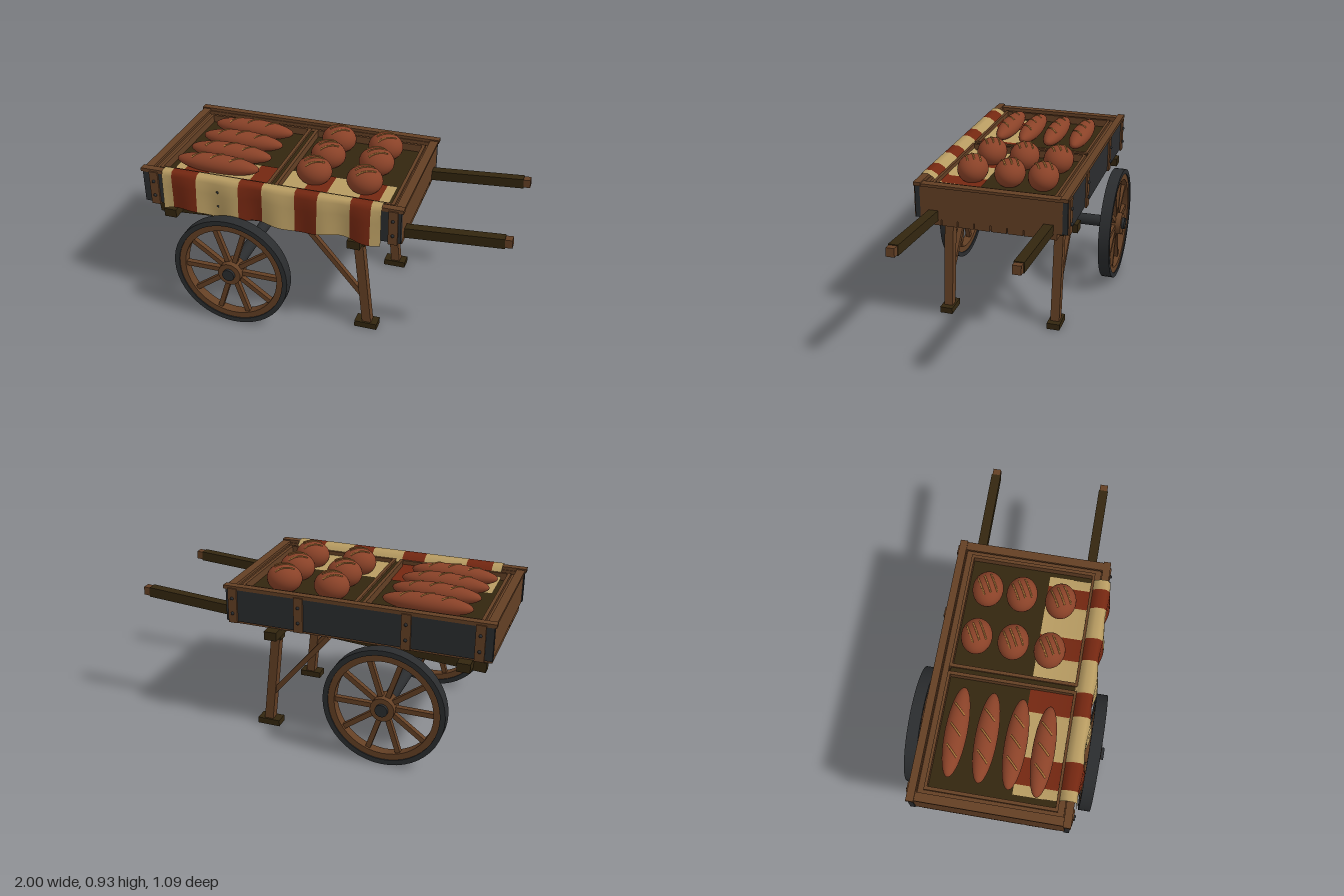
import * as THREE from 'three';
import { toCreasedNormals } from 'three/addons/utils/BufferGeometryUtils.js';

const mat = (name, color, side = THREE.FrontSide) => {
  const m = new THREE.MeshStandardMaterial({ color, side });
  m.name = name;
  return m;
};

export function createModel() {
  const root = new THREE.Group();
  root.name = 'breadCart';
  const wood = mat('wood', 0x633f24);
  const darkWood = mat('dark wood', 0x33260f);
  const iron = mat('iron', 0x2a2c2e);
  const crust = mat('crust', 0x8a4228);
  const score = mat('score', 0xa87238);
  const cream = mat('cream cloth', 0xb89c62, THREE.DoubleSide);
  const red = mat('red cloth', 0x742711, THREE.DoubleSide);

  const add = (name, geo, material, x = 0, y = 0, z = 0, parent = root) => {
    const m = new THREE.Mesh(geo, material);
    m.name = name;
    m.position.set(x, y, z);
    parent.add(m);
    return m;
  };
  // box given by its limits on each axis
  const box = (name, material, [x0, x1], [y0, y1], [z0, z1]) =>
    add(name, new THREE.BoxGeometry(x1 - x0, y1 - y0, z1 - z0), material,
      (x0 + x1) / 2, (y0 + y1) / 2, (z0 + z1) / 2);
  // straight square beam between two points in the xy plane
  const beam = (name, material, a, b, z, h, d) => {
    const m = add(name, new THREE.BoxGeometry(Math.hypot(b[0] - a[0], b[1] - a[1]), h, d), material,
      (a[0] + b[0]) / 2, (a[1] + b[1]) / 2, z);
    m.rotation.z = Math.atan2(b[1] - a[1], b[0] - a[0]);
    return m;
  };

  // floor planks running lengthwise
  const planks = 8, pw = 0.72 / planks;
  for (let i = 0; i < planks; i++) {
    const z = -0.36 + i * pw;
    box('floorPlank', wood, [-0.98, 0.44], [0.605, 0.645], [z + 0.003, z + pw - 0.003]);
  }
  // cross beams under the floor
  for (const x of [-0.85, 0.195]) box('crossBeam', darkWood, [x - 0.035, x + 0.035], [0.56, 0.608], [-0.415, 0.415]);

  // end panels with top rails
  for (const [x0, x1] of [[-0.985, -0.955], [0.415, 0.445]]) {
    box('endPanel', wood, [x0, x1], [0.64, 0.825], [-0.385, 0.385]);
    box('endRail', wood, [x0 - 0.008, x1 + 0.008], [0.82, 0.835], [-0.385, 0.385]);
  }
  // iron side panels with rails, posts and bolts
  const bolt = new THREE.SphereGeometry(0.009, 10, 8);
  for (const s of [-1, 1]) {
    const span = (a, b) => (s > 0 ? [a, b] : [-b, -a]);
    box('sidePanel', iron, [-0.99, 0.445], [0.642, 0.822], span(0.385, 0.412));
    box('sideLining', wood, [-0.985, 0.445], [0.64, 0.825], span(0.37, 0.386));
    box('sideRail', wood, [-1, 0.457], [0.822, 0.842], span(0.375, 0.415));
    for (const x of [-0.925, -0.55, 0.03, 0.405]) {
      box('sidePost', wood, [x - 0.025, x + 0.025], [0.635, 0.83], span(0.405, 0.422));
      for (const y of [0.69, 0.775]) add('bolt', bolt, iron, x, y, s * 0.424);
    }
  }

  // trays: dark beds with low rims and a ledge around them
  box('trayBed', darkWood, [-0.955, 0.415], [0.645, 0.78], [-0.37, 0.37]);
  for (const s of [-1, 1]) {
    const [a, b] = s > 0 ? [0.34, 0.37] : [-0.37, -0.34];
    box('trayLedge', wood, [-0.955, 0.415], [0.77, 0.805], [a, b]);
  }
  for (const [a, b] of [[-0.955, -0.925], [0.39, 0.415]])
    box('endLedge', wood, [a, b], [0.77, 0.805], [-0.34, 0.34]);
  for (const [x0, x1] of [[-0.925, -0.29], [-0.265, 0.39]]) {
    for (const [a, b] of [[-0.34, -0.325], [0.325, 0.34]]) box('trayRim', wood, [x0, x1], [0.77, 0.822], [a, b]);
    for (const x of [x0, x1 - 0.018]) box('trayRim', wood, [x, x + 0.018], [0.77, 0.822], [-0.325, 0.325]);
  }
  box('divider', darkWood, [-0.29, -0.265], [0.77, 0.81], [-0.33, 0.33]);

  // long shafts that end in handles, legs, feet and braces
  for (const z of [-0.312, 0.312]) {
    beam('shaft', darkWood, [-0.95, 0.565], [0.96, 0.698], z, 0.055, 0.052);
    beam('handleEnd', wood, [0.955, 0.6975], [0.997, 0.7005], z, 0.046, 0.044);
    box('legSocket', darkWood, [0.165, 0.235], [0.535, 0.565], [z - 0.03, z + 0.03]);
    beam('leg', wood, [0.195, 0.58], [0.252, 0.03], z, 0.05, 0.05);
    box('foot', darkWood, [0.185, 0.312], [0, 0.035], [z - 0.036, z + 0.036]);
    beam('brace', wood, [-0.1, 0.585], [0.225, 0.2], z, 0.028, 0.028);
  }

  // axle and spoked wheels
  const ring = (ri, ro, h) => toCreasedNormals(new THREE.LatheGeometry(
    [[ri, -h], [ro, -h], [ro, h], [ri, h], [ri, -h]].map(p => new THREE.Vector2(...p)), 48)
    .rotateX(Math.PI / 2), 0.6);
  const rod = (r, len) => new THREE.CylinderGeometry(r, r, len, 24).rotateX(Math.PI / 2);
  add('axle', rod(0.034, 1.09), iron, -0.47, 0.333, 0);
  const tyre = ring(0.3, 0.328, 0.032), rim = ring(0.266, 0.302, 0.026);
  for (const s of [-1, 1]) {
    const wheel = new THREE.Group();
    wheel.name = 'wheel';
    wheel.position.set(-0.47, 0.33, s * 0.484);
    root.add(wheel);
    add('tyre', tyre, iron, 0, 0, 0, wheel);
    add('rim', rim, wood, 0, 0, 0, wheel);
    add('hub', rod(0.065, 0.09), wood, 0, 0, 0, wheel);
    for (let i = 0; i < 10; i++) {
      const a = i * Math.PI / 5;
      const spoke = add('spoke', new THREE.BoxGeometry(0.23, 0.027, 0.028), wood,
        0.165 * Math.cos(a), 0.165 * Math.sin(a), 0, wheel);
      spoke.rotation.z = a;
    }
  }

  // loaves: ellipsoids with raised scores laid over the top
  const loaf = (name, x, y, z, [rx, ry, rz], cuts) => {
    const g = new THREE.Group();
    g.name = name;
    g.position.set(x, y, z);
    root.add(g);
    add('crust', new THREE.SphereGeometry(1, 28, 18).scale(rx, ry, rz), crust, 0, 0, 0, g);
    for (const [x0, z0, x1, z1] of cuts) {
      const pts = [];
      for (let i = 0; i <= 6; i++) {
        const px = x0 + (x1 - x0) * i / 6, pz = z0 + (z1 - z0) * i / 6;
        pts.push(new THREE.Vector3(px, ry * Math.sqrt(Math.max(0, 1 - (px / rx) ** 2 - (pz / rz) ** 2)), pz));
      }
      add('score', new THREE.TubeGeometry(new THREE.CatmullRomCurve3(pts), 10, 0.005, 6), score, 0, 0, 0, g);
    }
  };
  const longCuts = [-0.11, 0, 0.11].map(c => [c - 0.03, 0.03, c + 0.03, -0.03]);
  for (const [x, z] of [[-0.607, -0.235], [-0.612, -0.078], [-0.62, 0.075], [-0.635, 0.22]])
    loaf('longLoaf', x, 0.825, z, [0.24, 0.053, 0.058], longCuts);
  const bunCuts = [-0.032, 0, 0.032].map(c => [c * 0.5 - 0.045, c + 0.025, c * 0.5 + 0.045, c - 0.025]);
  for (const [x, z] of [[-0.085, -0.225], [0.19, -0.215], [-0.085, -0.03], [0.19, -0.03], [-0.1, 0.165], [0.185, 0.18]])
    loaf('roundLoaf', x, 0.845, z, [0.098, 0.078, 0.083], bunCuts);

  // striped cloth: lies in the trays, goes over the rail and hangs in folds
  const path = [[0.1, 0.786], [0.318, 0.788], [0.345, 0.832], [0.375, 0.85], [0.412, 0.85], [0.43, 0.825],
    [0.434, 0.76], [0.437, 0.69], [0.44, 0.632]];
  const edges = [-0.87, -0.815, -0.67, -0.43, -0.3, -0.12, 0.005, 0.18, 0.29, 0.345];
  for (let i = 0; i < edges.length - 1; i++) {
    const w = edges[i + 1] - edges[i];
    const geo = new THREE.PlaneGeometry(1, 1, Math.ceil(w / 0.02), path.length - 1);
    const p = geo.attributes.position;
    for (let k = 0; k < p.count; k++) {
      const x = edges[i] + (p.getX(k) + 0.5) * w;
      const [z, y] = path[Math.round((0.5 - p.getY(k)) * (path.length - 1))];
      const hang = z > 0.42 ? Math.min(1, (0.85 - y) / 0.2 + 0.2) : 0;
      p.setXYZ(k, x, y + hang * 0.012 * Math.sin(x * 15), z + hang * 0.011 * Math.sin(x * 26 + 1));
    }
    geo.computeVertexNormals();
    add('clothStripe', geo, i % 2 ? red : cream);
  }
  return root;
}
